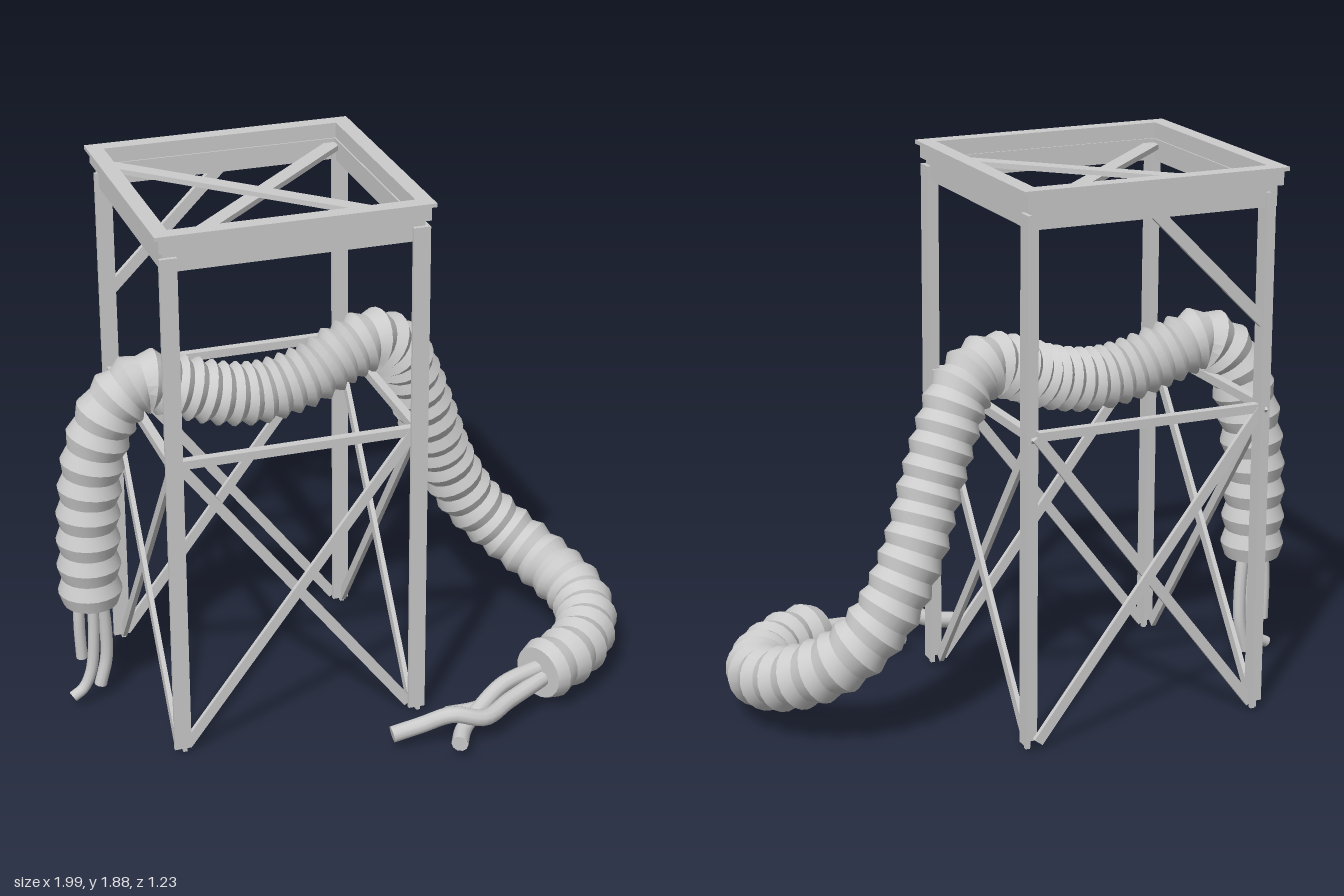
import * as THREE from 'three';
import { toCreasedNormals } from 'three/addons/utils/BufferGeometryUtils.js';

const grey = new THREE.MeshStandardMaterial({ color: 0xcccccc });
const V = (x, y, z) => new THREE.Vector3(x, y, z);
const curveOf = (pts) => new THREE.CatmullRomCurve3(pts.map((p) => V(...p)));

function add(parent, name, geometry) {
  const mesh = new THREE.Mesh(geometry, grey);
  mesh.name = name;
  parent.add(mesh);
  return mesh;
}

function box(parent, name, w, h, d, x, y, z) {
  const mesh = add(parent, name, new THREE.BoxGeometry(w, h, d));
  mesh.position.set(x, y, z);
  return mesh;
}

// straight bar from a to b: w is its horizontal thickness, h its width in the vertical plane
function bar(parent, name, a, b, w, h) {
  const mesh = add(parent, name, new THREE.BoxGeometry(w, h, a.distanceTo(b)));
  mesh.position.copy(a).add(b).multiplyScalar(0.5);
  mesh.lookAt(b);
  return mesh;
}

// rectangular ring of rails, half sizes hx and hz, rail width t
function railRing(parent, name, hx, hz, t, y0, y1) {
  const shape = new THREE.Shape();
  shape.moveTo(-hx, -hz).lineTo(hx, -hz).lineTo(hx, hz).lineTo(-hx, hz).closePath();
  const hole = new THREE.Path();
  const ix = hx - t, iz = hz - t;
  hole.moveTo(-ix, -iz).lineTo(-ix, iz).lineTo(ix, iz).lineTo(ix, -iz).closePath();
  shape.holes.push(hole);
  const geo = new THREE.ExtrudeGeometry(shape, { depth: y1 - y0, bevelEnabled: false });
  geo.rotateX(-Math.PI / 2).translate(0, y0, 0);
  add(parent, name, geo);
}

function buildTower() {
  const tower = new THREE.Group();
  tower.name = 'tower';
  const lx = 0.42, lz = 0.41;

  // angle-iron legs with small foot pins
  const s = 0.029, t = 0.014;
  const angle = new THREE.Shape();
  angle.moveTo(s, -s).lineTo(s, s).lineTo(s - t, s).lineTo(s - t, -s + t)
    .lineTo(-s, -s + t).lineTo(-s, -s).closePath();
  const legGeo = new THREE.ExtrudeGeometry(angle, { depth: 1.78, bevelEnabled: false });
  legGeo.rotateX(-Math.PI / 2);
  for (const sx of [-1, 1]) {
    for (const sz of [-1, 1]) {
      add(tower, 'leg', legGeo).position.set(sx * lx, 0.02, sz * lz);
      box(tower, 'footPin', 0.015, 0.03, 0.015, sx * lx + 0.01, 0.015, sz * lz + 0.01);
    }
  }

  // girts and cross braces on all four sides
  for (const side of [-1, 1]) {
    const z = side * lz, x = side * lx;
    box(tower, 'girt', 0.8, 0.03, 0.03, 0, 1.075, z);
    box(tower, 'girt', 0.03, 0.03, 0.78, x, 1.075, 0);
    for (const d of [-1, 1]) {
      const off = d * 0.009;
      bar(tower, 'crossBrace', V(-0.4 * d, 0.025, z + off), V(0.4 * d, 1.07, z + off), 0.016, 0.035);
      bar(tower, 'crossBrace', V(x + off, 0.025, -0.39 * d), V(x + off, 1.07, 0.39 * d), 0.016, 0.035);
    }
  }
  // single knee brace at the back
  bar(tower, 'kneeBrace', V(-0.41, 1.36, -lz), V(0.0, 1.77, -lz), 0.02, 0.04);

  // stepped top frame with diagonals
  railRing(tower, 'lowerRail', 0.435, 0.425, 0.03, 1.75, 1.825);
  railRing(tower, 'upperRail', 0.45, 0.44, 0.04, 1.82, 1.868);
  railRing(tower, 'topFlange', 0.465, 0.45, 0.055, 1.867, 1.88);
  for (const d of [-1, 1]) {
    const y = 1.81 + d * 0.008;
    bar(tower, 'topDiagonal', V(-0.41, y, -0.4 * d), V(0.41, y, 0.4 * d), 0.055, 0.018);
  }
  tower.position.set(-0.27, 0, -0.165);
  return tower;
}

// ribbed hose: rings alternate between valley and ridge, pleat length follows the bend
function hoseGeometry(curve, sides) {
  const length = curve.getLength();
  const pitchAt = (u) => {
    const keys = [[0, 0.1], [0.16, 0.095], [0.24, 0.052], [0.46, 0.05], [0.53, 0.075], [0.72, 0.085], [0.84, 0.085], [1, 0.1]];
    let i = 0;
    while (i < keys.length - 2 && u > keys[i + 1][0]) i++;
    const [a, p] = keys[i], [b, q] = keys[i + 1];
    return THREE.MathUtils.lerp(p, q, (u - a) / (b - a));
  };
  const stops = [0];
  while (stops[stops.length - 1] < length) {
    const at = stops[stops.length - 1];
    stops.push(at + pitchAt(Math.min(at / length, 1)));
  }
  const fit = 1 / stops[stops.length - 1];
  const rings = [];
  for (let i = 0; i < stops.length - 1; i++) {
    const deep = stops[i + 1] - stops[i] < 0.065;
    rings.push([stops[i] * fit, deep ? 0.09 : 0.095]);
    rings.push([(stops[i] + stops[i + 1]) * 0.5 * fit, 0.111]);
  }
  rings.push([1, 0.095]);

  // a carried normal keeps the rings from twisting
  const pos = [], idx = [];
  const n = V(0, 0, 1), b = V(0, 0, 0);
  for (const [u, r] of rings) {
    const p = curve.getPointAt(u), tan = curve.getTangentAt(u);
    n.addScaledVector(tan, -n.dot(tan)).normalize();
    b.crossVectors(tan, n);
    for (let j = 0; j < sides; j++) {
      const a = (j / sides) * Math.PI * 2;
      const v = p.clone().addScaledVector(n, r * Math.cos(a)).addScaledVector(b, r * Math.sin(a));
      pos.push(v.x, v.y, v.z);
    }
  }
  for (let i = 0; i < rings.length - 1; i++) {
    for (let j = 0; j < sides; j++) {
      const k = (j + 1) % sides, o = i * sides, q = o + sides;
      idx.push(o + j, o + k, q + j, o + k, q + k, q + j);
    }
  }
  const last = (rings.length - 1) * sides;
  for (let j = 1; j < sides - 1; j++) {
    idx.push(0, j + 1, j, last, last + j, last + j + 1);
  }
  const geo = new THREE.BufferGeometry();
  geo.setAttribute('position', new THREE.Float32BufferAttribute(pos, 3));
  geo.setIndex(idx);
  return toCreasedNormals(geo, 0.42);
}

function cable(parent, name, pts, r) {
  const curve = curveOf(pts);
  add(parent, name, new THREE.TubeGeometry(curve, 28, r, 10));
  // flat cut end
  const cap = add(parent, name + 'End', new THREE.CircleGeometry(r, 10));
  cap.position.copy(curve.getPoint(1));
  cap.lookAt(cap.position.clone().add(curve.getTangent(1)));
}

export function createModel() {
  const model = new THREE.Group();
  model.name = 'hoseOnTower';
  model.add(buildTower());

  // hose hangs on the left, sags through the tower and drops in a hook to the ground
  const path = curveOf([
    [-0.885, 0.395, -0.17], [-0.885, 0.6, -0.17], [-0.875, 0.8, -0.17], [-0.84, 1.0, -0.165],
    [-0.78, 1.13, -0.155], [-0.68, 1.2, -0.15], [-0.55, 1.165, -0.145], [-0.4, 1.12, -0.14],
    [-0.27, 1.105, -0.145], [-0.1, 1.135, -0.16], [0.04, 1.19, -0.185], [0.15, 1.215, -0.205],
    [0.25, 1.15, -0.235], [0.33, 1.0, -0.275], [0.4, 0.83, -0.31], [0.48, 0.64, -0.355],
    [0.59, 0.45, -0.37], [0.71, 0.32, -0.33], [0.82, 0.23, -0.21], [0.882, 0.175, -0.04],
    [0.86, 0.15, 0.1], [0.79, 0.14, 0.22], [0.69, 0.14, 0.31], [0.56, 0.135, 0.375],
  ]);
  add(model, 'ribbedHose', hoseGeometry(path, 20));

  // loose cables at both ends
  cable(model, 'hangingCable', [[-0.92, 0.43, -0.19], [-0.925, 0.3, -0.195], [-0.92, 0.16, -0.2]], 0.02);
  cable(model, 'hangingCable', [[-0.885, 0.43, -0.15], [-0.885, 0.28, -0.15], [-0.9, 0.13, -0.15], [-0.93, 0.065, -0.15], [-0.97, 0.04, -0.145]], 0.02);
  cable(model, 'hangingCable', [[-0.85, 0.43, -0.18], [-0.835, 0.28, -0.185], [-0.835, 0.15, -0.19], [-0.86, 0.045, -0.19]], 0.022);
  cable(model, 'groundCable', [[0.58, 0.12, 0.385], [0.42, 0.1, 0.46], [0.3, 0.095, 0.53], [0.19, 0.12, 0.515], [0.09, 0.075, 0.475], [-0.01, 0.055, 0.47]], 0.029);
  cable(model, 'groundCable', [[0.58, 0.15, 0.36], [0.42, 0.13, 0.4], [0.31, 0.09, 0.46], [0.23, 0.06, 0.52], [0.185, 0.055, 0.6]], 0.029);
  cable(model, 'groundCable', [[0.58, 0.1, 0.34], [0.44, 0.07, 0.375], [0.33, 0.052, 0.405], [0.21, 0.05, 0.405]], 0.03);
  return model;
}
